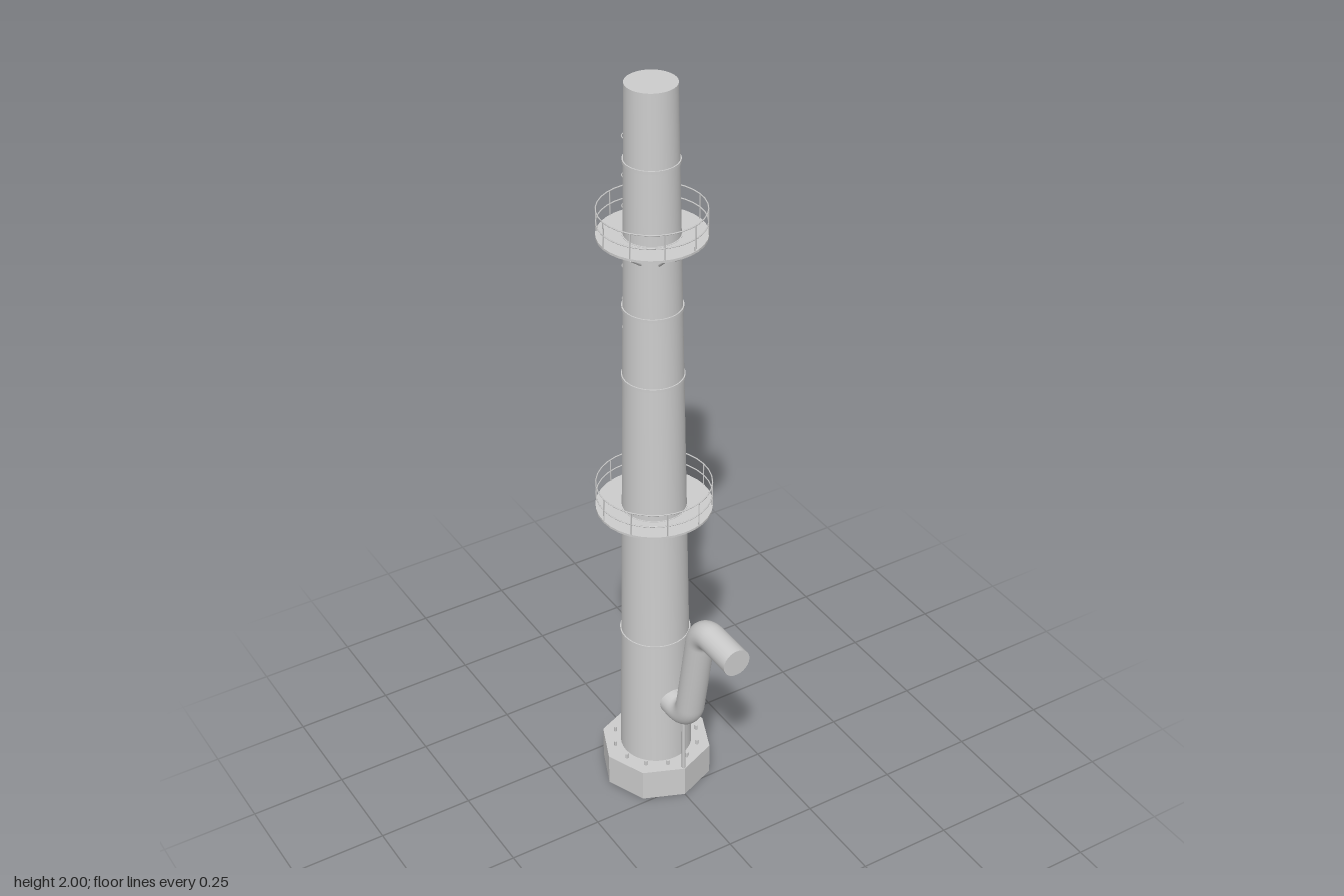
import * as THREE from 'three';

export function createModel() {
  const steel = new THREE.MeshStandardMaterial({ color: 0xcccccc });
  steel.name = 'light grey';

  const model = new THREE.Group();
  model.name = 'chimneyStack';
  const stack = new THREE.Group(); // everything centred on the shaft axis
  stack.name = 'stack';
  stack.position.z = -0.117;
  model.add(stack);

  const add = (parent, name, geometry, x = 0, y = 0, z = 0) => {
    const mesh = new THREE.Mesh(geometry, steel);
    mesh.name = name;
    mesh.position.set(x, y, z);
    parent.add(mesh);
    return mesh;
  };
  const group = (parent, name) => {
    const g = new THREE.Group();
    g.name = name;
    parent.add(g);
    return g;
  };
  // Thin round bar between two points
  const bar = (parent, name, a, b, r, sides = 6) => {
    const from = new THREE.Vector3(...a), dir = new THREE.Vector3(...b).sub(from);
    const mesh = add(parent, name, new THREE.CylinderGeometry(r, r, dir.length(), sides));
    mesh.position.copy(from).addScaledVector(dir, 0.5);
    mesh.quaternion.setFromUnitVectors(new THREE.Vector3(0, 1, 0), dir.normalize());
    return mesh;
  };
  // Horizontal ring
  const ring = (parent, name, radius, y, thickness, z = 0, segments = 32) => {
    const mesh = add(parent, name, new THREE.TorusGeometry(radius, thickness, 6, segments), 0, y, z);
    mesh.rotation.x = Math.PI / 2;
    return mesh;
  };
  const shaftRadius = (y) => THREE.MathUtils.mapLinear(y, 0.09, 2, 0.094, 0.0615);

  // Octagonal foundation with anchor bolts
  const foundation = new THREE.CylinderGeometry(0.146, 0.146, 0.09, 8).toNonIndexed();
  foundation.computeVertexNormals();
  add(stack, 'foundation', foundation, 0, 0.045);
  for (let i = 0; i < 12; i++) {
    const a = ((i + 0.5) / 12) * Math.PI * 2;
    add(stack, 'anchorBolt', new THREE.CylinderGeometry(0.004, 0.004, 0.014, 6),
      Math.sin(a) * 0.112, 0.097, Math.cos(a) * 0.112);
  }

  // Tapered shaft and its joint flanges
  add(stack, 'shaft', new THREE.CylinderGeometry(shaftRadius(2), shaftRadius(0.09), 1.91, 40), 0, 1.045);
  for (const y of [0.47, 0.86, 1.24, 1.43, 1.62, 1.81]) {
    const r = shaftRadius(y) + 0.003;
    add(stack, 'jointFlange', new THREE.CylinderGeometry(r, r, 0.008, 40), 0, y);
  }

  // Round service platforms with brackets and guard rails
  const buildPlatform = (y, radius) => {
    const platform = group(stack, 'platform');
    const inner = shaftRadius(y) - 0.002;
    const deck = new THREE.LatheGeometry([
      [inner, -0.003], [radius, -0.003], [radius, 0.003], [inner, 0.003],
    ].map(([r, h]) => new THREE.Vector2(r, h)), 32).toNonIndexed();
    deck.computeVertexNormals();
    add(platform, 'deck', deck, 0, y);
    for (const h of [0.033, 0.067]) ring(platform, 'guardRail', radius - 0.002, y + h, 0.0017);
    for (let i = 0; i < 10; i++) {
      const a = (i / 10) * Math.PI * 2, c = Math.cos(a), s = Math.sin(a);
      const at = (r, h) => [c * r, y + h, s * r];
      bar(platform, 'railPost', at(radius - 0.002, 0), at(radius - 0.002, 0.067), 0.0017);
      bar(platform, 'bracket', at(shaftRadius(y - 0.045), -0.045), at(radius - 0.006, -0.004), 0.0028);
    }
  };
  buildPlatform(0.86, 0.146);
  buildPlatform(1.62, 0.131);

  // Ladder up the back, leaning with the taper
  const ladder = group(stack, 'ladder');
  const ladderZ = (y) => -shaftRadius(y) - THREE.MathUtils.mapLinear(y, 0.09, 1.98, 0.011, 0.007);
  for (const x of [-0.012, 0.012]) {
    bar(ladder, 'ladderRail', [x, 0.09, ladderZ(0.09)], [x, 1.98, ladderZ(1.98)], 0.002);
  }
  for (let y = 0.11; y < 1.975; y += 0.02) {
    bar(ladder, 'rung', [-0.012, y, ladderZ(y)], [0.012, y, ladderZ(y)], 0.0014, 5);
  }
  for (let y = 0.19; y < 2; y += 0.19) {
    for (const x of [-0.012, 0.012]) {
      bar(ladder, 'ladderStandoff', [x, y, ladderZ(y)], [x, y, -shaftRadius(y) + 0.004], 0.0016, 5);
    }
  }

  // Safety cage hoops behind the ladder
  for (const y of [0.195, 0.275, 0.355, 0.6, 0.685, 0.765, 0.85, 0.93, 1.0, 1.08,
    1.16, 1.24, 1.32, 1.4, 1.49, 1.57, 1.65, 1.73, 1.83]) {
    ring(ladder, 'cageHoop', 0.0215, y, 0.0015, ladderZ(y) - 0.019, 20);
  }

  // Inlet duct with two rounded elbows
  const v = (y, z) => new THREE.Vector3(0, y, z);
  const corners = [v(0.617, 0.265), v(0.617, 0.108), v(0.283, 0.045), v(0.283, -0.06)];
  const path = new THREE.CurvePath();
  let last = corners[0];
  for (let i = 1; i < 3; i++) {
    const p = corners[i];
    const toward = (q, d) => p.clone().add(q.clone().sub(p).setLength(d));
    const start = toward(corners[i - 1], 0.05), end = toward(corners[i + 1], 0.05);
    path.add(new THREE.LineCurve3(last, start));
    path.add(new THREE.CubicBezierCurve3(start, start.clone().lerp(p, 0.6), end.clone().lerp(p, 0.6), end));
    last = end;
  }
  path.add(new THREE.LineCurve3(last, corners[3]));
  const duct = group(model, 'inletDuct');
  add(duct, 'ductPipe', new THREE.TubeGeometry(path, 72, 0.037, 24));
  add(duct, 'ductEndCap', new THREE.CircleGeometry(0.037, 24), 0, 0.617, 0.265);
  bar(duct, 'ductSupport', [0, 0.088, 0.022], [0, 0.26, 0.022], 0.005, 8);

  return model;
}
